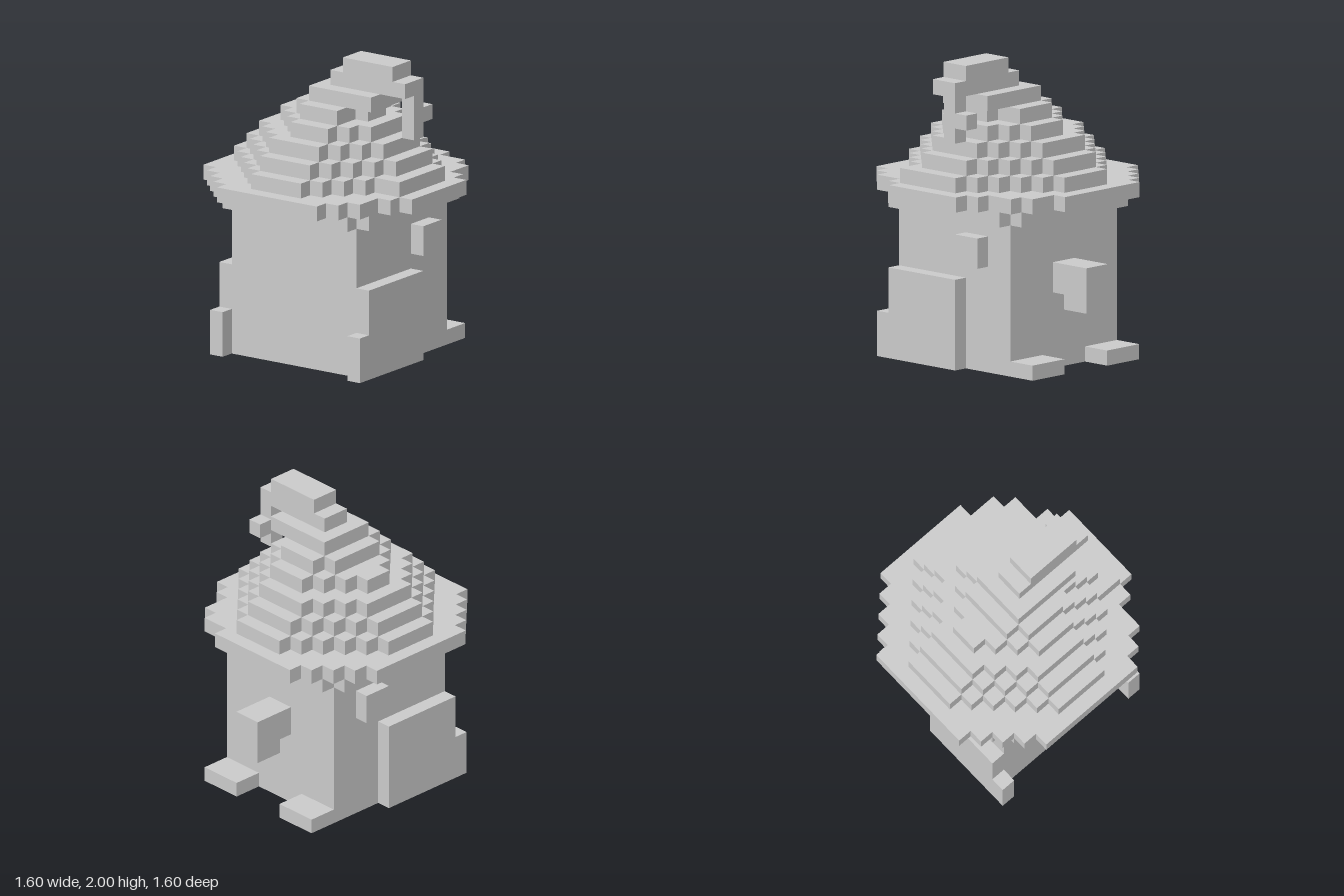
import * as THREE from 'three';

const U = 0.1; // one block

export function createModel() {
  const group = new THREE.Group();
  const material = new THREE.MeshStandardMaterial({ color: 0xcccccc, flatShading: true });

  function add(name, geometry) {
    const mesh = new THREE.Mesh(geometry, material);
    mesh.name = name;
    group.add(mesh);
  }

  // box from its limits, counted in blocks
  function block(name, x0, x1, y0, y1, z0, z1) {
    const g = new THREE.BoxGeometry((x1 - x0) * U, (y1 - y0) * U, (z1 - z0) * U);
    g.translate((x0 + x1) * U / 2, (y0 + y1) * U / 2, (z0 + z1) * U / 2);
    add(name, g);
  }

  // one-block-high slab with a stepped outline; rows run from back to front as [left, right]
  function slab(name, y, z0, rows) {
    const near = [], far = [];
    rows.forEach(([a, b], i) => {
      const z = z0 + i;
      near.push([a, z], [a, z + 1]);
      far.push([b, z], [b, z + 1]);
    });
    const outline = near.concat(far.reverse()).map(([x, z]) => new THREE.Vector2(x * U, -z * U));
    const g = new THREE.ExtrudeGeometry(new THREE.Shape(outline), { depth: U, bevelEnabled: false });
    g.rotateX(-Math.PI / 2);
    g.translate(0, y * U, 0);
    add(name, g);
  }

  // rows of an octagon: radius r, with diagonal limits for the back and front halves
  function octagon(r, back, front = back) {
    const rows = [];
    for (let z = -r; z < r; z++) {
      const w = z < 0 ? Math.min(r, back + z) : Math.min(r, front - z - 1);
      rows.push([-w, w]);
    }
    return rows;
  }

  // walls and the ledge under the eaves
  block('walls', -5, 5, 0, 10, -5, 5);
  slab('ledge', 10, -6, [[-5, 5], ...Array(10).fill([-6, 6]), [-5, 5]]);

  // doors, door posts, windows and side steps, the same at front and back
  for (const s of [1, -1]) {
    const z0 = s > 0 ? 5 : -6;
    block('door', -5, 1, 0, 6, z0, z0 + 1);
    block('doorPost', -6, -5, 0, 3, z0, z0 + 1);
    block('window', 1, 3, 7, 9, z0, z0 + 1);
    block('sideStep', 5, 7, 0, 1, s > 0 ? 2 : -5, s > 0 ? 5 : -2);
  }

  // lantern on the left wall
  block('lanternArm', 5, 6, 5, 7, -1, 1);
  block('lantern', 6, 8, 4, 7, -1, 1);

  // stepped roof, with a few uneven blocks at the front of the eaves
  const eaves = octagon(8, 12);
  eaves[11] = [-8, 7];
  eaves[14] = [-4, 4];
  eaves[15] = [-3, 3];
  slab('eaves', 11, -8, eaves);
  const second = octagon(7, 9);
  second[13] = [-3, 2];
  slab('roofLayer', 12, -7, second);
  slab('roofLayer', 13, -6, octagon(6, 8));
  slab('roofLayer', 14, -5, octagon(5, 7));
  slab('roofLayer', 15, -4, octagon(4, 5, 6));
  slab('roofLayer', 16, -2, [[-2, 2], [-3, 3], [-3, 3], [-3, 3], [-1, 1]]);
  block('roofLayer', -2, 2, 17, 18, -1, 4);

  // bent roof tip with a hanging charm
  block('tipLower', -1, 1, 18, 19, 0, 6);
  block('tipUpper', -1, 1, 19, 20, 1, 5);
  block('charm', 0, 1, 15, 18, 5, 6);
  block('charmArm', 1, 2, 16, 17, 5, 6);

  return group;
}
